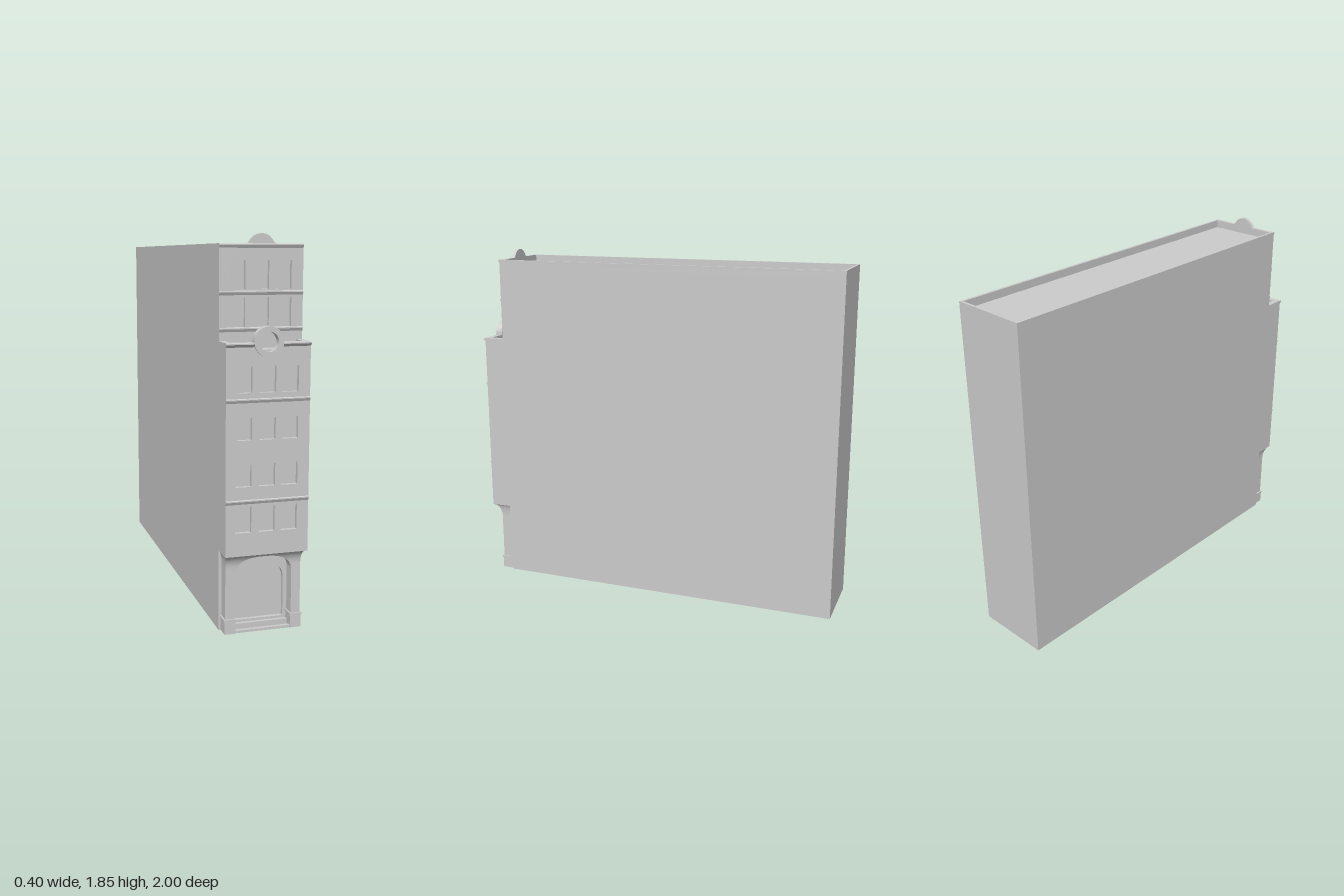
import * as THREE from 'three';

const mat = new THREE.MeshStandardMaterial({ color: 0xcccccc, side: THREE.DoubleSide });

export function createModel() {
  const model = new THREE.Group();
  const add = (name, geo, z = 0) => {
    const m = new THREE.Mesh(geo, mat);
    m.name = name;
    m.position.z = z;
    model.add(m);
    return m;
  };
  // box given by its limits
  const box = (name, x0, x1, y0, y1, z0, z1) =>
    add(name, new THREE.BoxGeometry(x1 - x0, y1 - y0, z1 - z0)
      .translate((x0 + x1) / 2, (y0 + y1) / 2, (z0 + z1) / 2));
  const rect = (C, x0, x1, y0, y1) => new C([[x0, y0], [x1, y0], [x1, y1], [x0, y1]]
    .map(p => new THREE.Vector2(...p)));
  const extrude = (shape, depth) =>
    new THREE.ExtrudeGeometry(shape, { depth, bevelEnabled: false, curveSegments: 24 });
  // surface over u, v in 0..1
  const grid = (fn, nu, nv) => {
    const g = new THREE.PlaneGeometry(1, 1, nu, nv);
    const p = g.attributes.position;
    for (let i = 0; i < p.count; i++) p.setXYZ(i, ...fn(p.getX(i) + 0.5, p.getY(i) + 0.5));
    g.computeVertexNormals();
    return g;
  };

  // main volumes
  box('mainBody', -0.2, 0.2, 0, 1.765, -1, 0.86);
  box('lowerFrontBody', -0.2, 0.2, 0.39, 1.335, 0.86, 0.97);

  // roof parapet, sides and back
  for (const s of [-1, 1]) {
    box('roofParapetSide', s * 0.193 - 0.007, s * 0.193 + 0.007, 1.765, 1.805, -1, 0.86);
    box('terraceParapetSide', s * 0.185 - 0.015, s * 0.185 + 0.015, 1.335, 1.37, 0.88, 0.96);
  }
  box('roofParapetBack', -0.186, 0.186, 1.765, 1.805, -1, -0.986);

  // facade walls with window openings
  const columns = [[-0.152, -0.077], [-0.041, 0.036], [0.066, 0.144]];
  const facade = (name, outline, rows, z, depth) => {
    for (const [y0, y1] of rows)
      for (const [x0, x1] of columns) outline.holes.push(rect(THREE.Path, x0, x1, y0, y1));
    add(name, extrude(outline, depth), z);
  };
  const upper = new THREE.Shape();
  upper.moveTo(-0.2, 1.335).lineTo(0.2, 1.335).lineTo(0.2, 1.805).lineTo(0.072, 1.805);
  upper.quadraticCurveTo(0.06, 1.807, 0.055, 1.818);
  upper.quadraticCurveTo(0.034, 1.85, 0, 1.85);
  upper.quadraticCurveTo(-0.034, 1.85, -0.055, 1.818);
  upper.quadraticCurveTo(-0.06, 1.807, -0.072, 1.805).lineTo(-0.2, 1.805);
  facade('upperFacade', upper, [[1.43, 1.565], [1.602, 1.73]], 0.86, 0.02);

  const lower = rect(THREE.Shape, -0.2, 0.2, 0.39, 1.37);
  const rowsLower = [[0.5, 0.62], [0.715, 0.82], [0.93, 1.032], [1.145, 1.265]];
  // the lower wall is notched around the round ornament
  const wall = new THREE.Shape();
  wall.moveTo(-0.2, 0.39).lineTo(0.2, 0.39).lineTo(0.2, 1.37).lineTo(0.06, 1.37);
  wall.absarc(0, 1.37, 0.06, 0, Math.PI, true);
  wall.lineTo(-0.2, 1.37);
  facade('lowerFacade', wall, rowsLower, 0.97, 0.02);
  // parapet backing behind the wall
  for (const s of [-1, 1])
    box('terraceParapetFront', s * 0.13 - 0.07, s * 0.13 + 0.07, 1.335, 1.37, 0.96, 0.97);

  // round ornament above the fourth floor
  const ring = new THREE.Shape().absarc(0, 1.372, 0.07, 0, Math.PI * 2, false);
  ring.holes.push(new THREE.Path().absarc(0, 1.372, 0.045, 0, Math.PI * 2, true));
  add('roundOrnament', extrude(ring, 0.037), 0.96);

  // slim string courses
  const band = (y, z, x0, x1, h = 0.02, out = 0.006) => {
    const s = new THREE.Shape();
    s.moveTo(0, 0).lineTo(out, h * 0.6).lineTo(out, h * 0.85).lineTo(0, h);
    const g = extrude(s, x1 - x0).rotateY(-Math.PI / 2);
    g.translate(x1, y, z);
    add('stringCourse', g);
  };
  band(0.635, 0.99, -0.2, 0.2);
  band(1.1, 0.99, -0.2, 0.2);
  band(1.35, 0.99, -0.2, -0.068, 0.02, 0.01);
  band(1.35, 0.99, 0.068, 0.2, 0.02, 0.01);
  band(1.41, 0.88, -0.2, 0.2);
  band(1.575, 0.88, -0.2, 0.2);
  band(1.785, 0.88, -0.2, 0.2);

  // entrance piers and plinths
  const half = 0.14, spring = 0.29, pier = 0.185;
  for (const s of [-1, 1]) {
    const b = (name, x0, x1, y0, y1, z0, z1) =>
      box(name, Math.min(s * x0, s * x1), Math.max(s * x0, s * x1), y0, y1, z0, z1);
    b('entrancePier', half, pier, 0, spring, 0.86, 0.94);
    b('pierPlinth', half - 0.004, pier + 0.004, 0, 0.06, 0.87, 0.944);
    b('pierMoulding', half - 0.007, pier + 0.008, 0.06, 0.072, 0.87, 0.948);
  }

  // arched head that flares out under the upper floors
  const flare = y => {
    const t = Math.min(1, Math.max(0, (y - 0.32) / 0.07));
    return 1 - Math.sqrt(1 - t * t);
  };
  const place = (x, y) => [x * (1 + 0.08 * flare(y)), y, 0.94 + 0.05 * flare(y)];
  const archY = x => spring + 0.08 * Math.sqrt(Math.max(0, 1 - Math.pow(Math.abs(x) / half, 2.4)));
  add('archHead', grid((u, v) => {
    const x = (u * 2 - 1) * pier, y0 = archY(x);
    return place(x, y0 + (0.39 - y0) * (1 - (1 - v) ** 2));
  }, 74, 16));
  add('archSoffit', grid((u, v) => {
    const x = -half * Math.cos(u * Math.PI), p = place(x, archY(x));
    return [p[0], p[1], 0.86 + (p[2] - 0.86) * (1 - v)];
  }, 48, 1));
  for (const s of [-1, 1])
    add('archHeadSide', grid((u, v) => {
      const p = place(s * pier, spring + (0.39 - spring) * (1 - (1 - v) ** 2));
      const w = s > 0 ? 1 - u : u;
      return [p[0], p[1], 0.86 + (p[2] - 0.86) * w];
    }, 1, 16));

  // recessed door surround, its full width closing the body front
  const surround = rect(THREE.Shape, -0.2, 0.2, 0, 0.39);
  const door = new THREE.Path();
  door.moveTo(-0.12, 0.04).lineTo(0.12, 0.04).lineTo(0.12, 0.23);
  door.bezierCurveTo(0.118, 0.29, 0.075, 0.32, 0, 0.32);
  door.bezierCurveTo(-0.075, 0.32, -0.118, 0.29, -0.12, 0.23);
  surround.holes.push(door);
  add('doorSurround', extrude(surround, 0.02), 0.86);

  // entrance steps
  box('frontSill', -half, half, 0, 0.012, 0.922, 0.94);
  box('doorStep', -half, half, 0, 0.028, 0.88, 0.897);

  return model;
}
